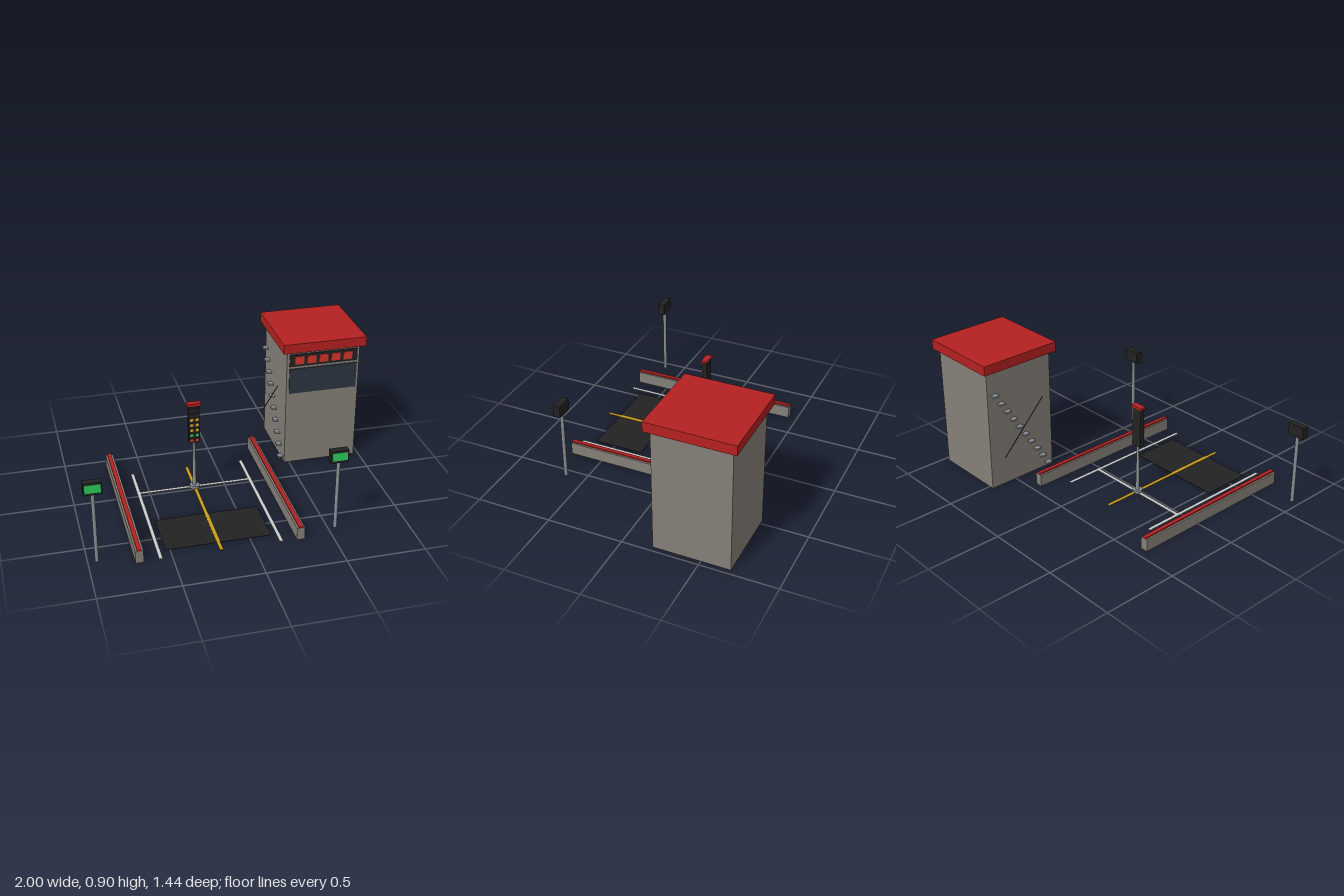
import * as THREE from 'three';

const mat = (name, color) => {
  const m = new THREE.MeshStandardMaterial({ color, side: THREE.DoubleSide });
  m.name = name;
  return m;
};

export function createModel() {
  const root = new THREE.Group();
  const red = mat('trimRed', 0xb52020);
  const digitRed = mat('signalRed', 0xd8352a);
  const concrete = mat('concrete', 0x857f78);
  const white = mat('linePaint', 0xcccccc);
  const metal = mat('metal', 0x8a9096);
  const black = mat('black', 0x222222);
  const green = mat('signalGreen', 0x2ecc5a);
  const amber = mat('signalAmber', 0xe8a820);
  const yellow = mat('yellowPaint', 0xc99c1a);
  const glass = mat('darkGlass', 0x2c3540);

  const group = (name, parent = root) => {
    const g = new THREE.Group();
    g.name = name;
    parent.add(g);
    return g;
  };
  const add = (parent, name, geo, m, x, y, z) => {
    const mesh = new THREE.Mesh(geo, m);
    mesh.name = name;
    mesh.position.set(x, y, z);
    parent.add(mesh);
    return mesh;
  };
  const box = (parent, name, m, w, h, d, x, y, z) =>
    add(parent, name, new THREE.BoxGeometry(w, h, d), m, x, y, z);

  // Track markings
  const track = group('track');
  box(track, 'launchPad', black, 0.665, 0.003, 0.33, -0.197, 0.0035, 0.47);
  for (const x of [-0.572, 0.177]) box(track, 'laneEdge', white, 0.022, 0.003, 0.995, x, 0.0065, 0.2225);
  box(track, 'startLine', white, 0.74, 0.003, 0.022, -0.2, 0.0065, -0.028);
  box(track, 'centreLine', yellow, 0.022, 0.003, 0.995, -0.2, 0.0085, 0.2225);

  // Side barriers with a red cap strip
  for (const x of [-0.7, 0.3]) {
    const barrier = group('barrier');
    box(barrier, 'barrierWall', concrete, 0.05, 0.082, 1.16, x, 0.041, 0.14);
    box(barrier, 'barrierCap', red, 0.026, 0.009, 1.16, x, 0.0865, 0.14);
  }

  // Starting light tower
  const tower = group('startingLights');
  tower.position.set(-0.2, 0, -0.022);
  add(tower, 'towerBase', new THREE.CylinderGeometry(0.033, 0.033, 0.02, 12), metal, 0, 0.015, 0);
  add(tower, 'towerPole', new THREE.CylinderGeometry(0.008, 0.013, 0.33, 12), metal, 0, 0.19, 0);
  box(tower, 'lampHousing', black, 0.072, 0.265, 0.032, 0, 0.4825, 0);
  box(tower, 'housingCap', red, 0.09, 0.016, 0.04, 0, 0.623, 0);
  const rows = [black, black, amber, amber, amber, green, digitRed];
  const lampGeo = new THREE.CylinderGeometry(0.012, 0.012, 0.006, 14).rotateX(Math.PI / 2);
  const visorGeo = new THREE.CylinderGeometry(0.014, 0.014, 0.012, 12, 1, true, Math.PI / 2, Math.PI)
    .rotateX(Math.PI / 2);
  rows.forEach((m, i) => {
    for (const x of [-0.018, 0.018]) {
      const y = 0.592 - i * 0.037;
      add(tower, 'lamp', lampGeo, m, x, y, 0.017);
      add(tower, 'lampVisor', visorGeo, black, x, y, 0.02);
    }
  });

  // Lane display boards on poles
  for (const x of [-0.944, 0.548]) {
    const sign = group('laneDisplay');
    sign.position.set(x, 0, 0.637);
    add(sign, 'displayPole', new THREE.CylinderGeometry(0.012, 0.012, 0.48, 10), metal, 0, 0.24, 0);
    box(sign, 'displayCase', black, 0.113, 0.08, 0.045, 0, 0.515, 0);
    box(sign, 'displayScreen', green, 0.095, 0.054, 0.004, 0, 0.517, 0.0235);
  }

  // Control building
  const building = group('controlBuilding');
  box(building, 'buildingBody', concrete, 0.5, 0.832, 0.5, 0.717, 0.416, -0.44);
  box(building, 'roof', red, 0.565, 0.065, 0.565, 0.717, 0.8645, -0.44);
  box(building, 'window', glass, 0.465, 0.178, 0.008, 0.718, 0.617, -0.187);
  box(building, 'scoreboard', black, 0.465, 0.086, 0.009, 0.718, 0.767, -0.186);
  for (let i = 0; i < 5; i++)
    box(building, 'scorePanel', digitRed, 0.06, 0.054, 0.004, 0.551 + i * 0.083, 0.767, -0.18);

  // Side stairs and sloping handrail
  const stairs = group('stairs');
  for (let i = 0; i < 10; i++)
    box(stairs, 'stairTread', metal, 0.036, 0.012, 0.04, 0.451, 0.03 + i * 0.0705, -0.235 - i * 0.045);
  const rail = add(stairs, 'handrail', new THREE.CylinderGeometry(0.003, 0.003, 0.465, 6), black, 0.434, 0.378, -0.44);
  rail.rotation.x = Math.atan2(0.32, 0.335);

  return root;
}
